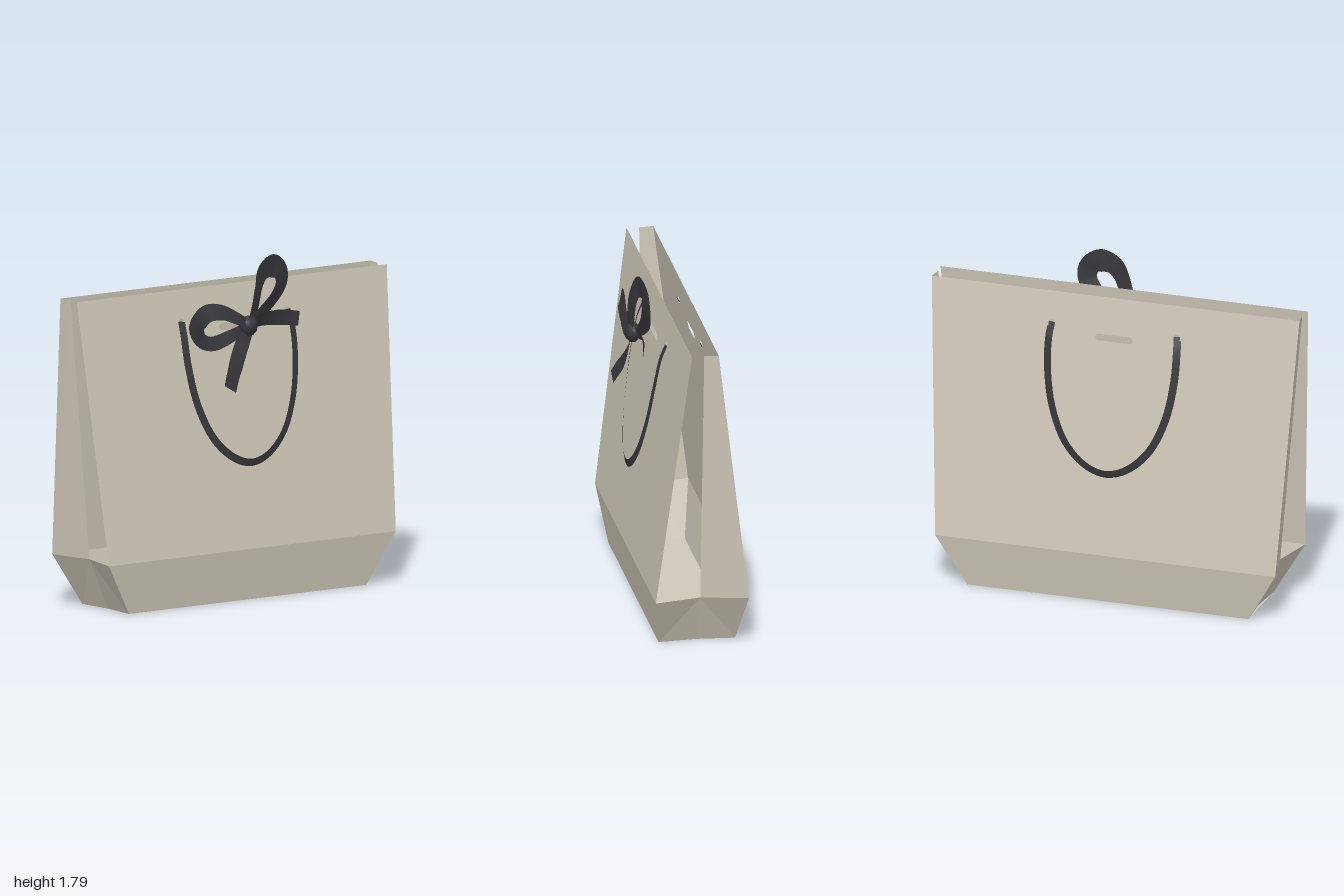
import * as THREE from 'three';

const mat = (name, color, flatShading = false) =>
  Object.assign(new THREE.MeshStandardMaterial({ color, side: THREE.DoubleSide, flatShading }), { name });

const TOP = 1.635, FOLD = 0.27, MID = -0.02;

// polygons (each a convex fan of points) -> flat geometry
function faces(polys) {
  const pos = [];
  for (const p of polys)
    for (let i = 1; i < p.length - 1; i++) pos.push(...p[0], ...p[i], ...p[i + 1]);
  const g = new THREE.BufferGeometry();
  g.setAttribute('position', new THREE.Float32BufferAttribute(pos, 3));
  g.computeVertexNormals();
  return g;
}

// flat ribbon along a path; rows are [x, y, z, width, tilt]
function ribbon(rows, steps) {
  const curve = new THREE.CatmullRomCurve3(rows.map(r => new THREE.Vector3(r[0], r[1], r[2])));
  const pos = [], index = [];
  for (let i = 0; i <= steps; i++) {
    const t = i / steps, f = t * (rows.length - 1);
    const k = Math.min(Math.floor(f), rows.length - 2);
    const mix = c => THREE.MathUtils.lerp(rows[k][c], rows[k + 1][c], f - k);
    const p = curve.getPoint(t), d = curve.getTangent(t);
    const side = new THREE.Vector3(-d.y, d.x, 0).normalize().multiplyScalar(Math.cos(mix(4)));
    side.z = Math.sin(mix(4));
    side.multiplyScalar(mix(3) / 2);
    pos.push(p.x + side.x, p.y + side.y, p.z + side.z, p.x - side.x, p.y - side.y, p.z - side.z);
    const a = 2 * i;
    if (i < steps) index.push(a, a + 1, a + 2, a + 1, a + 3, a + 2);
  }
  const g = new THREE.BufferGeometry();
  g.setAttribute('position', new THREE.Float32BufferAttribute(pos, 3));
  g.setIndex(index);
  g.computeVertexNormals();
  return g;
}

// large tapered panel with cord holes and a slot
function panel(zFold, zTop) {
  const s = new THREE.Shape();
  s.moveTo(-0.925, FOLD);
  s.lineTo(0.925, FOLD);
  s.lineTo(1, TOP);
  s.lineTo(-1, TOP);
  for (const x of [-0.34, 0.34])
    s.holes.push(new THREE.Path().absarc(x, 1.465, 0.018, 0, Math.PI * 2, true));
  const slot = new THREE.Path();
  slot.absarc(0.085, 1.42, 0.017, Math.PI / 2, -Math.PI / 2, true);
  slot.absarc(-0.085, 1.42, 0.017, -Math.PI / 2, -Math.PI * 1.5, true);
  s.holes.push(slot);
  const g = new THREE.ShapeGeometry(s, 8), p = g.attributes.position;
  for (let i = 0; i < p.count; i++)
    p.setZ(i, THREE.MathUtils.mapLinear(p.getY(i), FOLD, TOP, zFold, zTop));
  g.computeVertexNormals();
  return g;
}

export function createModel() {
  const model = new THREE.Group();
  model.name = 'giftBag';
  const paper = mat('beigePaper', 0xcfc8b9);
  const satin = mat('darkRibbon', 0x36353b);
  const add = (name, geo, m, parent = model) => {
    const mesh = new THREE.Mesh(geo, m);
    mesh.name = name;
    parent.add(mesh);
  };

  // front and back: upper panel plus slanted lower panel
  const sides = [
    { name: 'front', zTop: 0.045, zFold: 0.222, zBase: 0.18 },
    { name: 'back', zTop: -0.095, zFold: -0.265, zBase: -0.22 },
  ];
  for (const { name, zTop, zFold, zBase } of sides) {
    add(name + 'Panel', panel(zFold, zTop), paper);
    add(name + 'LowerPanel', faces([[
      [-0.765, 0, zBase], [0.765, 0, zBase], [0.925, FOLD, zFold], [-0.925, FOLD, zFold],
    ]]), paper);
  }
  add('floor', faces([[
    [-0.765, 0, -0.22], [0.765, 0, -0.22], [0.75, 0, MID], [0.765, 0, 0.18],
    [-0.765, 0, 0.18], [-0.75, 0, MID],
  ]]), paper);

  // side gussets: rear half wall and folded lower corners
  for (const s of [-1, 1]) {
    const apex = [s * 0.87, FOLD, MID], mid = [s * 0.75, 0, MID];
    add('sideGusset', faces([[
      [s * 0.925, FOLD, -0.265], apex, [s * 0.99, TOP, MID], [s, TOP, -0.095],
    ]]), paper);
    add('lowerGusset', faces(sides.flatMap(({ zFold, zBase }) => {
      const corner = [s * 0.765, 0, zBase];
      return [[apex, corner, mid], [apex, [s * 0.925, FOLD, zFold], corner]];
    })), paper);
  }

  // hanging cord handles
  const half = [
    [0.342, 1.47, 0.068], [0.348, 1.4, 0.098], [0.345, 1.25, 0.13], [0.308, 1.04, 0.165],
    [0.225, 0.86, 0.196], [0.11, 0.755, 0.215],
  ];
  const cord = (sign, shift) => {
    const row = (p, m) => [p[0] * m, p[1], sign * p[2] + shift, 0.04, 0.15 * sign];
    return [...half.map(p => row(p, -1)), row([0, 0.722, 0.22], 1),
      ...half.slice().reverse().map(p => row(p, 1))];
  };
  add('frontHandle', ribbon(cord(1, 0), 64), satin);
  add('backHandle', ribbon(cord(-1, -0.043), 64), satin);

  // bow
  const bow = new THREE.Group();
  bow.name = 'bow';
  model.add(bow);
  add('upperLoop', ribbon([
    [0, 1.43, 0.2, 0.05, 0.3], [0.035, 1.53, 0.2, 0.07, 0.4], [0.062, 1.63, 0.195, 0.075, 0.4],
    [0.1, 1.7, 0.18, 0.1, 0.2], [0.165, 1.725, 0.168, 0.125, 0.1], [0.225, 1.695, 0.16, 0.11, -0.2],
    [0.238, 1.63, 0.155, 0.1, -0.3], [0.195, 1.555, 0.15, 0.09, -0.4], [0.1, 1.48, 0.155, 0.07, -0.3],
    [0.01, 1.43, 0.17, 0.05, 0],
  ], 36), satin, bow);
  add('sideLoop', ribbon([
    [0, 1.435, 0.2, 0.05, 0.3], [-0.09, 1.48, 0.215, 0.07, 0.4], [-0.19, 1.522, 0.21, 0.085, 0.4],
    [-0.28, 1.52, 0.2, 0.095, 0.3], [-0.332, 1.455, 0.19, 0.095, 0.2], [-0.3, 1.385, 0.18, 0.085, -0.2],
    [-0.22, 1.355, 0.17, 0.077, -0.4], [-0.12, 1.375, 0.165, 0.07, -0.4], [0, 1.42, 0.17, 0.05, 0],
  ], 36), satin, bow);
  add('lowerTail', ribbon([
    [0, 1.42, 0.2, 0.05, 0.2], [-0.045, 1.34, 0.195, 0.08, 0.3], [-0.1, 1.24, 0.215, 0.09, 0.1],
    [-0.14, 1.18, 0.24, 0.088, 0], [-0.172, 1.125, 0.262, 0.085, 0],
  ], 16), satin, bow);
  add('sideTail', ribbon([
    [0.01, 1.43, 0.18, 0.05, 0.2], [0.11, 1.45, 0.16, 0.08, 0.4], [0.22, 1.452, 0.17, 0.085, 0.2],
    [0.328, 1.437, 0.185, 0.075, 0],
  ], 16), satin, bow);
  const knot = new THREE.SphereGeometry(1, 10, 6);
  knot.scale(0.05, 0.055, 0.04).translate(0.005, 1.43, 0.185);
  add('knot', knot, satin, bow);

  return model;
}
